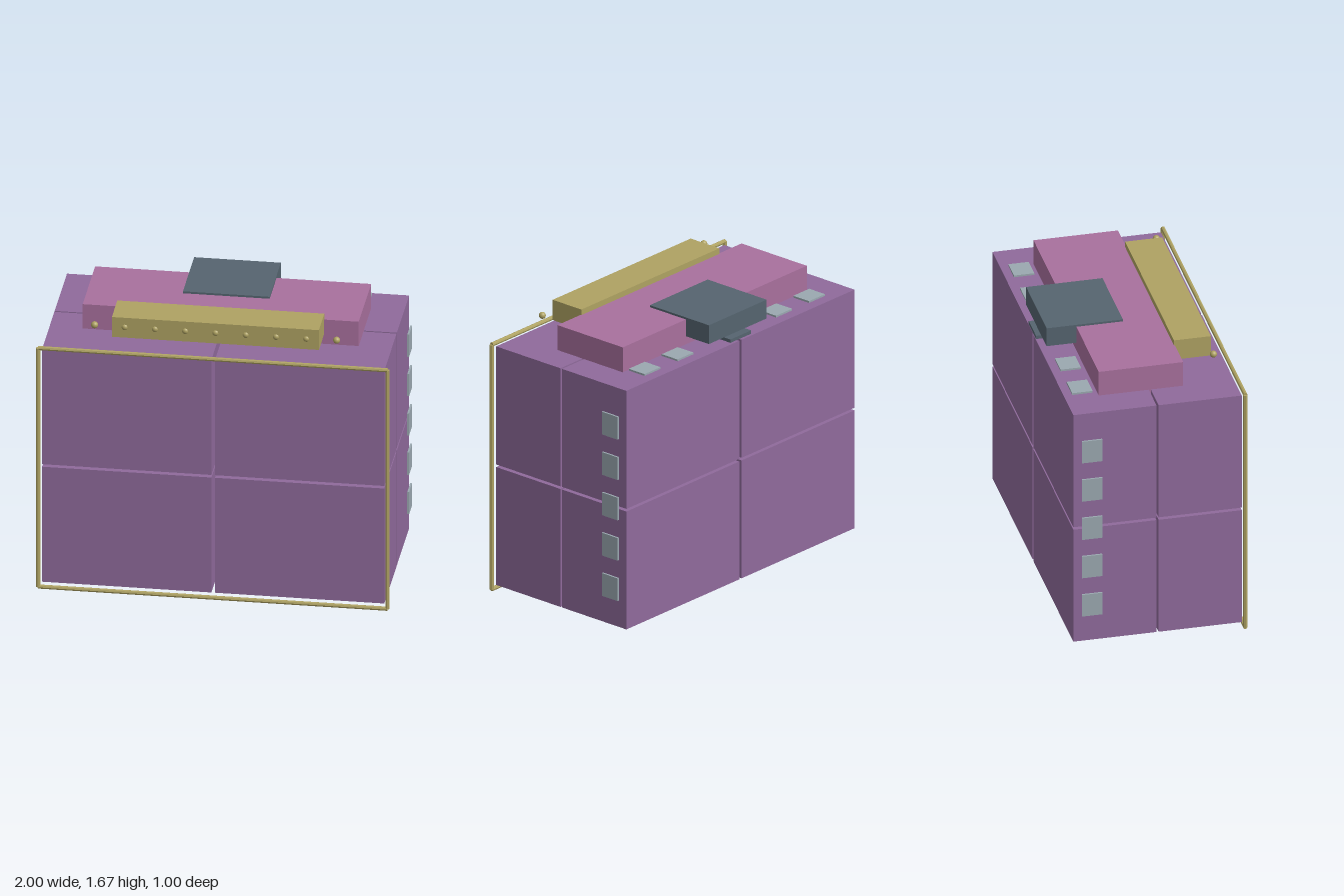
import * as THREE from 'three';

const mat = (color) => new THREE.MeshStandardMaterial({ color });

export function createModel() {
  const model = new THREE.Group();
  const purple = mat(0x8f6a9b), pink = mat(0xa8709d), gold = mat(0xaea262);
  const slate = mat(0x55646f), pale = mat(0x9aa8b0);
  const rodMat = mat(0xaea262);
  rodMat.flatShading = true;

  const add = (name, geometry, material, x, y, z) => {
    const mesh = new THREE.Mesh(geometry, material);
    mesh.name = name;
    mesh.position.set(x, y, z);
    model.add(mesh);
    return mesh;
  };
  // Box given by its lower and upper bounds
  const box = (name, material, [x0, x1], [y0, y1], [z0, z1]) =>
    add(name, new THREE.BoxGeometry(x1 - x0, y1 - y0, z1 - z0), material,
      (x0 + x1) / 2, (y0 + y1) / 2, (z0 + z1) / 2);

  // Eight body blocks separated by narrow gaps
  for (const xs of [[-0.967, -0.01], [0.01, 0.967]])
    for (const ys of [[0.036, 0.752], [0.768, 1.485]])
      for (const zs of [[-0.497, -0.018], [-0.006, 0.472]])
        box('bodyBlock', purple, xs, ys, zs);

  // Thin rod frame standing in front of the body
  const r = 0.0125, top = 1.51, fx = 1 - r, fz = 0.5 - r;
  for (const y of [r, top - r])
    add('frameHorizontalRod', new THREE.CylinderGeometry(r, r, 2 * fx, 8), rodMat, 0, y, fz)
      .rotation.z = Math.PI / 2;
  for (const s of [-1, 1])
    add('frameVerticalRod', new THREE.CylinderGeometry(r, r, top - 2 * r, 8), rodMat, s * fx, top / 2, fz);

  // Roof unit, front bar and rear box
  box('roofUnit', pink, [-0.78, 0.78], [1.445, 1.636], [-0.306, 0.18]);
  box('frontBar', gold, [-0.585, 0.585], [1.547, 1.67], [0.174, 0.387]);
  box('rearBox', slate, [-0.245, 0.245], [1.534, 1.648], [-0.477, -0.038]);
  box('rearPlate', slate, [-0.088, 0.088], [1.498, 1.518], [-0.5, -0.303]);

  // Row of studs along the front bar
  for (let i = -4; i <= 4; i++)
    add('stud', new THREE.SphereGeometry(0.02, 16, 12), gold, i * 0.171, 1.61, 0.377);

  // Pale pads on both sides and along the rear of the roof
  for (const s of [-1, 1]) {
    for (let i = 0; i < 5; i++)
      add('sidePad', new THREE.BoxGeometry(0.011, 0.138, 0.117), pale, s * 0.985, 0.272 + i * 0.245, -0.393);
    for (const x of [0.418, 0.697])
      add('roofPad', new THREE.BoxGeometry(0.135, 0.011, 0.117), pale, s * x, 1.505, -0.396);
  }
  return model;
}
